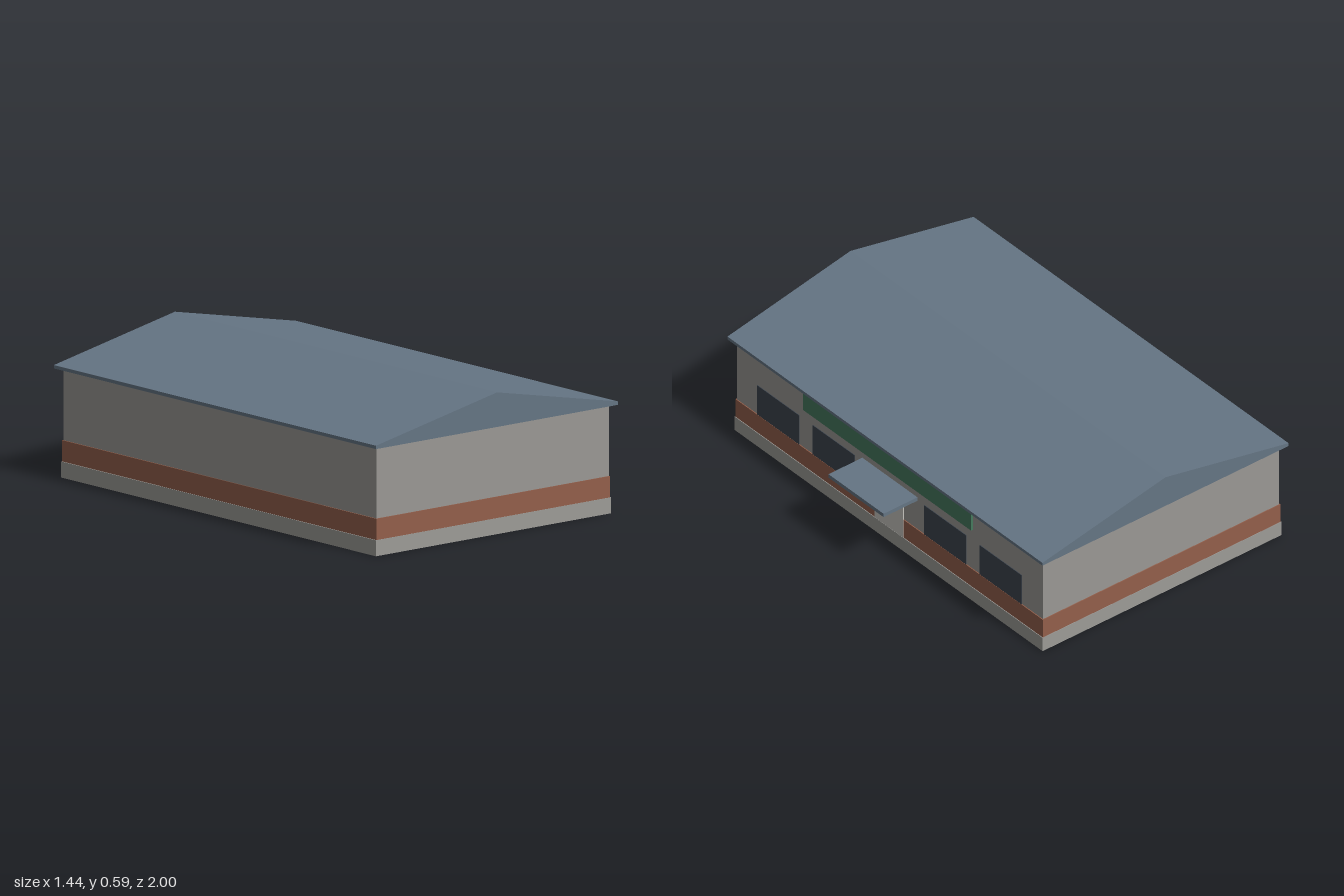
import * as THREE from 'three';

const mat = (name, color) => {
  const m = new THREE.MeshStandardMaterial({ color });
  m.name = name;
  return m;
};

export function createModel() {
  const group = new THREE.Group();
  group.name = 'building';
  const wallGrey = mat('wall grey', 0x9a9894);
  const plinthGrey = mat('plinth grey', 0x9c9b97);
  const brick = mat('brick', 0x935f4b);
  const slate = mat('slate blue', 0x657584);
  const glass = mat('dark glass', 0x3c444e);
  const doorGrey = mat('door grey', 0xc5c4be);
  const green = mat('sign green', 0x467a5e);

  // Box given by its lower and upper bounds on each axis
  const box = (name, material, [x0, x1], [y0, y1], [z0, z1]) => {
    const mesh = new THREE.Mesh(new THREE.BoxGeometry(x1 - x0, y1 - y0, z1 - z0), material);
    mesh.position.set((x0 + x1) / 2, (y0 + y1) / 2, (z0 + z1) / 2);
    mesh.name = name;
    group.add(mesh);
  };

  // Body: three stacked courses, each stepped in slightly
  box('plinth', plinthGrey, [-0.702, 0.546], [0, 0.066], [-0.978, 0.978]);
  box('brickBand', brick, [-0.698, 0.543], [0.066, 0.154], [-0.976, 0.976]);
  box('walls', wallGrey, [-0.694, 0.539], [0.154, 0.449], [-0.972, 0.972]);

  // Gabled roof with a shallow fascia, extruded along z
  const gable = new THREE.Shape([
    [-0.721, 0.449], [0.565, 0.449], [0.565, 0.463], [-0.078, 0.592], [-0.721, 0.463],
  ].map(([x, y]) => new THREE.Vector2(x, y)));
  const roof = new THREE.Mesh(
    new THREE.ExtrudeGeometry(gable, { depth: 2, bevelEnabled: false }).translate(0, 0, -1), slate);
  roof.name = 'roof';
  group.add(roof);

  // Entrance side: mirrored windows, door, canopy and sign board
  for (const [a, b] of [[0.22, 0.487], [0.573, 0.84]]) {
    box('windowLeft', glass, [0.537, 0.542], [0.154, 0.299], [a, b]);
    box('windowRight', glass, [0.537, 0.542], [0.154, 0.299], [-b, -a]);
  }
  box('door', doorGrey, [0.537, 0.545], [0.066, 0.267], [-0.091, 0.091]);
  box('canopy', slate, [0.539, 0.716], [0.295, 0.312], [-0.175, 0.175]);
  box('signBoard', green, [0.545, 0.554], [0.355, 0.444], [-0.534, 0.534]);

  return group;
}
